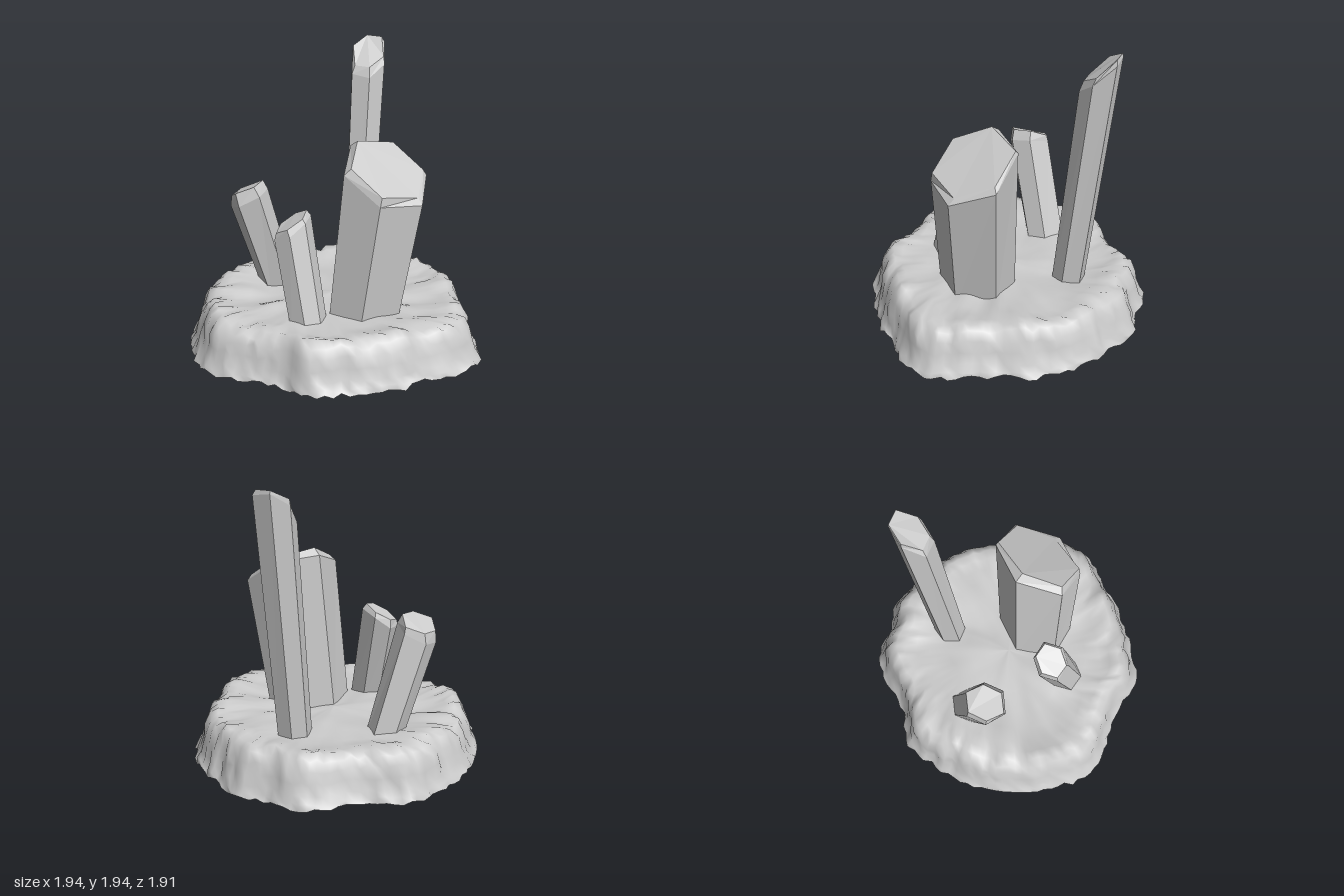
import * as THREE from 'three';

const V = (p) => new THREE.Vector3(...p);
const material = new THREE.MeshStandardMaterial({ color: 0xcccccc });
const shellMaterial = new THREE.MeshStandardMaterial({ color: 0xcccccc, side: THREE.DoubleSide });

// Repeatable value in -1..1 for a pair of whole numbers
function hash(i, j) {
  const s = Math.sin(i * 127.1 + j * 311.7) * 43758.5453;
  return 2 * (s - Math.floor(s)) - 1;
}

// Smooth value noise over the ground plane
function noise(x, z) {
  const i = Math.floor(x), j = Math.floor(z);
  const u = THREE.MathUtils.smoothstep(x - i, 0, 1), v = THREE.MathUtils.smoothstep(z - j, 0, 1);
  const { lerp } = THREE.MathUtils;
  return lerp(lerp(hash(i, j), hash(i + 1, j), u), lerp(hash(i, j + 1), hash(i + 1, j + 1), u), v);
}

function meshFrom(name, positions, index, mat) {
  let geometry = new THREE.BufferGeometry();
  geometry.setAttribute('position', new THREE.Float32BufferAttribute(positions, 3));
  geometry.setIndex(index);
  if (mat === material) geometry = geometry.toNonIndexed();
  geometry.computeVertexNormals();
  const mesh = new THREE.Mesh(geometry, mat);
  mesh.name = name;
  return mesh;
}

// Open rock shell: the rim outline shrunk ring by ring up to a bumpy plateau
function rockBase() {
  const rim = new THREE.CatmullRomCurve3([
    [-0.02, -0.98], [0.26, -0.91], [0.4, -0.91], [0.58, -0.75], [0.71, -0.64], [0.83, -0.48],
    [0.92, -0.21], [0.94, 0.08], [0.98, 0.35], [0.9, 0.57], [0.7, 0.68], [0.46, 0.82],
    [0.22, 0.9], [-0.16, 0.95], [-0.28, 0.86], [-0.48, 0.78], [-0.71, 0.71], [-0.87, 0.55],
    [-0.97, 0.23], [-0.97, -0.1], [-0.88, -0.37], [-0.68, -0.69], [-0.36, -0.79], [-0.18, -0.91],
  ].map(([x, z]) => V([x, 0, z])), true);
  // [share of rim radius, height, jag of radius, jag of height]
  const rings = [
    [0, 0.3, 0, 0], [0.15, 0.3, 0, 0], [0.3, 0.3, 0, 0], [0.45, 0.3, 0, 0], [0.58, 0.305, 0, 0],
    [0.68, 0.315, 0.01, 0.005], [0.76, 0.325, 0.012, 0.01], [0.82, 0.325, 0.015, 0.015],
    [0.87, 0.3, 0.018, 0.018], [0.905, 0.24, 0.02, 0.015], [0.925, 0.17, 0.02, 0.012],
    [0.945, 0.1, 0.02, 0.01], [0.97, 0.055, 0.022, 0.01], [0.985, 0.025, 0.025, 0.018],
  ];
  const segments = 120, positions = [], index = [];
  const outline = rim.getSpacedPoints(segments);
  rings.forEach(([share, height, jagR, jagY], i) => {
    for (let j = 0; j < segments; j++) {
      const p = outline[j];
      const flute = 0.6 * hash(j, 3) + 0.5 * hash(j, i + 20);
      const r = share + jagR * flute;
      const x = p.x * r, z = p.z * r;
      const bump = 0.022 * noise(x * 5 + 9, z * 9 + 4) * (share < 0.9 ? 1 : 0.3);
      positions.push(x, Math.max(0, height + bump + jagY * hash(j, i + 50)), z);
      if (i === 0) continue;
      const a = (i - 1) * segments + j, c = (i - 1) * segments + (j + 1) % segments;
      const b = a + segments, d = c + segments;
      if (i > 1) index.push(a, c, b);
      index.push(c, d, b);
    }
  });
  return meshFrom('rockBase', positions, index, shellMaterial);
}

// Hexagon symmetric about its centre, from three neighbouring corners
function hexagon(centre, corners) {
  const c = V(centre), half = corners.map(V);
  return [...half, ...half.map((p) => c.clone().multiplyScalar(2).sub(p))];
}

// Leaning six-sided prism with a slanted, bevelled tip
function crystal(name, { foot, taper, shoulder, tip }) {
  const bevel = hexagon(...shoulder), cap = hexagon(...tip);
  const middle = V(shoulder[0]);
  // The foot runs on along the axis to just under the rock surface
  const axis = V(foot).sub(middle);
  const buried = middle.clone().addScaledVector(axis, (middle.y - 0.2) / -axis.y);
  const bottom = bevel.map((p) => p.clone().sub(middle).multiplyScalar(taper).setY(0).add(buried));
  const rings = [bottom, bevel, cap];
  const positions = rings.flat().flatMap((p) => p.toArray());
  const index = [];
  for (let j = 0; j < 6; j++) {
    const k = (j + 1) % 6;
    for (const s of [0, 6]) index.push(j + s, j + s + 6, k + s, k + s, j + s + 6, k + s + 6);
    if (j > 0 && j < 5) index.push(0, j, k, 12, 12 + k, 12 + j);
  }
  return meshFrom(name, positions, index, material);
}

const crystals = {
  largeCrystal: {
    foot: [0.225, 0.33, 0.18], taper: 0.9,
    shoulder: [[0.335, 1.205, 0.18], [[0.105, 1.36, 0.04], [0.37, 1.33, -0.1], [0.6, 1.16, 0.02]]],
    tip: [[0.345, 1.245, 0.182], [[0.15, 1.4, 0.08], [0.38, 1.35, -0.085], [0.575, 1.2, 0.03]]],
  },
  tallCrystal: {
    foot: [0.15, 0.33, -0.435], taper: 0.83,
    shoulder: [[0.21, 1.805, -0.59], [[0.2, 1.92, -0.72], [0.32, 1.9, -0.68], [0.32, 1.77, -0.54]]],
    tip: [[0.21, 1.85, -0.6], [[0.2, 1.94, -0.715], [0.3, 1.935, -0.68], [0.315, 1.82, -0.56]]],
  },
  backLeaningCrystal: {
    foot: [-0.425, 0.34, -0.24], taper: 0.97,
    shoulder: [[-0.58, 0.94, -0.125], [[-0.66, 0.9, -0.24], [-0.525, 0.965, -0.26], [-0.455, 1, -0.135]]],
    tip: [[-0.593, 1.008, -0.125], [[-0.65, 0.97, -0.23], [-0.53, 1.01, -0.25], [-0.487, 1.06, -0.14]]],
  },
  frontLeaningCrystal: {
    foot: [-0.165, 0.34, 0.4], taper: 1,
    shoulder: [[-0.257, 0.882, 0.292], [[-0.245, 0.91, 0.175], [-0.143, 0.95, 0.24], [-0.172, 0.935, 0.365]]],
    tip: [[-0.265, 0.923, 0.292], [[-0.245, 0.945, 0.19], [-0.17, 0.987, 0.245], [-0.19, 0.96, 0.35]]],
  },
};

export function createModel() {
  const group = new THREE.Group();
  group.name = 'crystalCluster';
  group.add(rockBase());
  for (const [name, spec] of Object.entries(crystals)) group.add(crystal(name, spec));
  return group;
}
